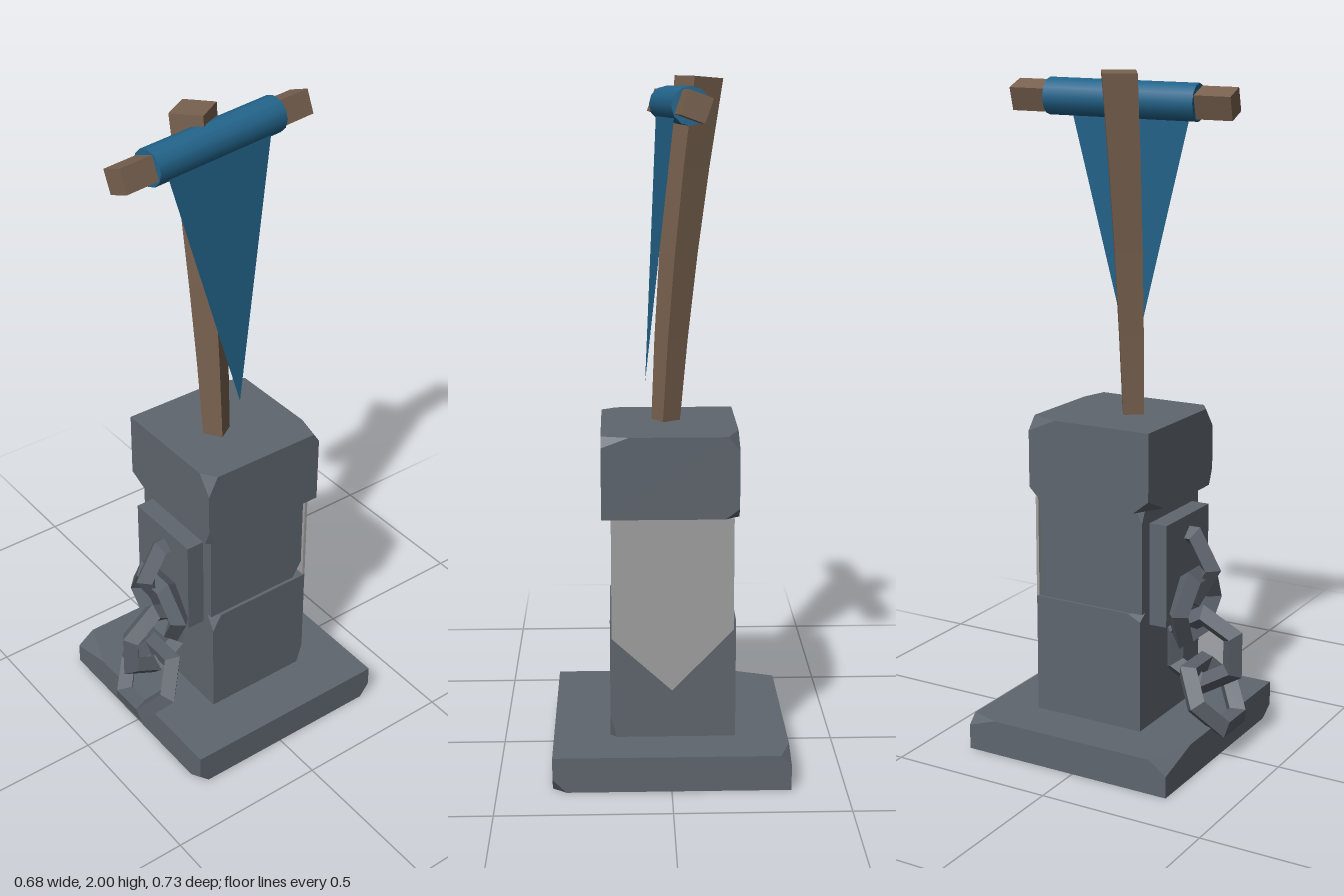
import * as THREE from 'three';
import { ConvexGeometry } from 'three/addons/geometries/ConvexGeometry.js';

const material = (name, color, extra = {}) => {
  const m = new THREE.MeshStandardMaterial({ color, ...extra });
  m.name = name;
  return m;
};

// Stone block from [min, max] ranges; each chip cuts one corner:
// [side x, side y, side z, cut x, cut y, cut z] with sides 0 (min) or 1 (max)
function chippedBlock(xr, yr, zr, chips = []) {
  const points = [];
  for (const i of [0, 1]) for (const j of [0, 1]) for (const k of [0, 1]) {
    const corner = new THREE.Vector3(xr[i], yr[j], zr[k]);
    const chip = chips.find(c => c[0] === i && c[1] === j && c[2] === k);
    if (!chip) { points.push(corner); continue; }
    const [dx, dy, dz] = chip.slice(3);
    points.push(
      corner.clone().add(new THREE.Vector3(i ? -dx : dx, 0, 0)),
      corner.clone().add(new THREE.Vector3(0, j ? -dy : dy, 0)),
      corner.clone().add(new THREE.Vector3(0, 0, k ? -dz : dz)));
  }
  return new ConvexGeometry(points);
}

// Square pole that widens and bends towards -x as it rises
function poleGeometry() {
  const g = new THREE.BoxGeometry(1, 1, 1, 1, 4, 1);
  const p = g.attributes.position, yaw = 0.57;
  for (let i = 0; i < p.count; i++) {
    const t = p.getY(i) + 0.5, size = 0.06 + 0.038 * t;
    const x = p.getX(i) * size, z = p.getZ(i) * size;
    p.setXYZ(i,
      0.008 - 0.055 * t - 0.04 * t * t + x * Math.cos(yaw) + z * Math.sin(yaw),
      1.0 + t * (0.995 + x * 0.08),
      0.004 + 0.009 * t - x * Math.sin(yaw) + z * Math.cos(yaw));
  }
  const flat = g.toNonIndexed();
  flat.computeVertexNormals();
  return flat;
}

export function createModel() {
  const model = new THREE.Group();
  model.name = 'chainedPillarWithBanner';
  const stone = material('stone', 0x5f666e);
  const iron = material('iron', 0x5b616a, { flatShading: true });
  const paleStone = material('paleStone', 0xa0a0a0);
  const wood = material('wood', 0x78614f);
  const cloth = material('cloth', 0x23658c, { side: THREE.DoubleSide });
  const add = (name, geometry, mat, parent = model) => {
    const mesh = new THREE.Mesh(geometry, mat);
    mesh.name = name;
    parent.add(mesh);
    return mesh;
  };

  // Stacked stones of the pillar
  add('base', chippedBlock([-0.343, 0.341], [0, 0.105], [-0.36, 0.31], [
    [0, 1, 1, 0.15, 0.04, 0.055], [0, 1, 0, 0.03, 0.03, 0.09],
    [1, 0, 1, 0.05, 0.03, 0.03], [1, 0, 0, 0.04, 0.04, 0.03],
  ]), stone);
  add('lowerShaft', chippedBlock([-0.19, 0.175], [0.1, 0.463], [-0.213, 0.14], [
    [1, 1, 1, 0.03, 0.05, 0.03], [0, 1, 1, 0.03, 0.02, 0.04],
    [1, 0, 0, 0.02, 0.07, 0.02],
  ]), stone);
  add('upperShaft', chippedBlock([-0.18, 0.165], [0.463, 0.775], [-0.205, 0.14], [
    [1, 0, 0, 0.02, 0.05, 0.03], [0, 1, 1, 0.02, 0.04, 0.02],
  ]), stone);
  add('cap', chippedBlock([-0.197, 0.197], [0.77, 1.01], [-0.23, 0.17], [
    [0, 0, 1, 0.09, 0.04, 0.05], [0, 1, 0, 0.033, 0.04, 0.09],
    [1, 1, 0, 0.08, 0.03, 0.02], [1, 1, 1, 0.045, 0.06, 0.03],
    [1, 0, 1, 0.02, 0.05, 0.03], [0, 0, 0, 0.04, 0.03, 0.03],
  ]), stone);
  add('chainPlate', chippedBlock([-0.135, 0.125], [0.42, 0.728], [0.13, 0.196]), stone);

  // Pointed pale slab on the back
  const slab = new THREE.Shape([
    [-0.183, 0.768], [-0.183, 0.435], [-0.005, 0.25], [0.17, 0.41], [0.17, 0.768],
  ].map(([x, y]) => new THREE.Vector2(x, y)));
  add('backSlab', new THREE.ExtrudeGeometry(slab, { depth: 0.009, bevelEnabled: false }), paleStone)
    .position.z = -0.218;

  // Hexagonal chain links: position, then rotation
  const chain = new THREE.Group();
  chain.name = 'chain';
  model.add(chain);
  const link = new THREE.TorusGeometry(0.107, 0.034, 4, 6);
  [
    [[0.005, 0.57, 0.16], [0, -Math.PI / 2, 0]],
    [[0.003, 0.455, 0.218], [0.12, 0, 0]],
    [[0.005, 0.315, 0.245], [0, Math.PI / 2 + 0.12, Math.PI / 6]],
    [[0.013, 0.178, 0.275], [-0.65, 0, 0]],
  ].forEach(([position, rotation], i) => {
    const mesh = add('chainLink' + (i + 1), link, iron, chain);
    mesh.position.set(...position);
    mesh.rotation.set(...rotation);
  });

  // Bent pole and tilted crossbar with rolled cloth
  add('pole', poleGeometry(), wood);
  const bar = new THREE.Group();
  bar.name = 'crossbar';
  bar.position.set(-0.028, 1.918, -0.008);
  bar.lookAt(0.01, 1.91, 0.325);
  model.add(bar);
  add('crossbarBeam', new THREE.BoxGeometry(0.07, 0.07, 0.67), wood, bar).rotation.z = 0.35;
  add('clothRoll', new THREE.CylinderGeometry(0.053, 0.053, 0.455, 12), cloth, bar)
    .rotation.x = Math.PI / 2;

  // Triangular pennant hanging from the roll
  const pennant = new THREE.BufferGeometry();
  pennant.setAttribute('position', new THREE.Float32BufferAttribute([
    0.03, 1.9, 0.18, 0.068, 1.13, -0.035, -0.012, 1.91, -0.195,
  ], 3));
  pennant.computeVertexNormals();
  add('pennant', pennant, cloth);

  return model;
}
